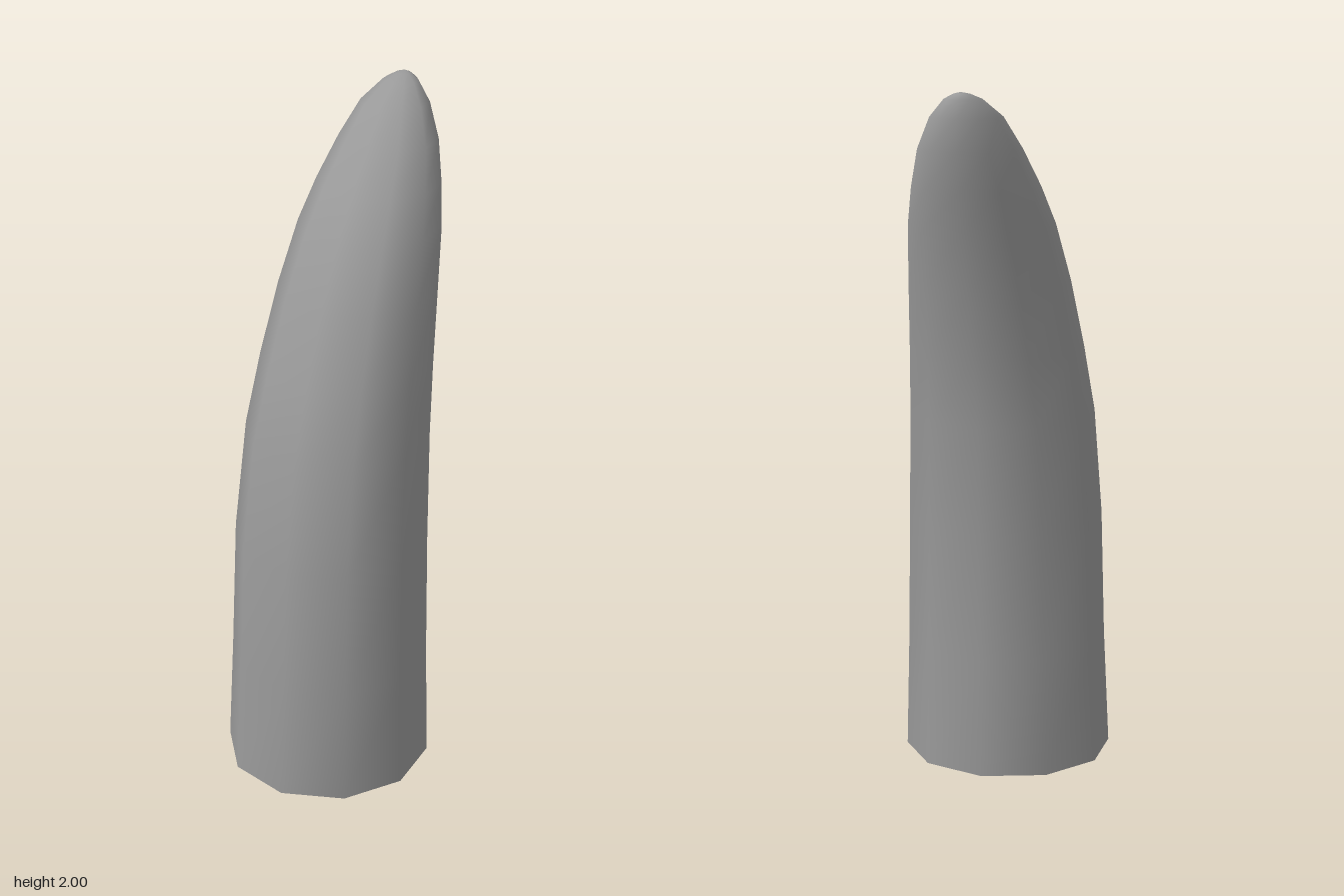
import * as THREE from 'three';

// Horn cross-sections from base to tip: height, centre x, centre z, radius
const RINGS = [
  [0, 0, 0.116, 0.308],
  [0.35, 0.002, 0.11, 0.295],
  [0.73, -0.005, 0.091, 0.286],
  [1.05, -0.02, 0.044, 0.27],
  [1.25, -0.03, -0.007, 0.252],
  [1.45, -0.044, -0.073, 0.231],
  [1.62, -0.059, -0.143, 0.207],
  [1.73, -0.075, -0.202, 0.18],
  [1.84, -0.091, -0.263, 0.144],
  [1.93, -0.11, -0.314, 0.1],
  [1.98, -0.122, -0.352, 0.052],
  [1.995, -0.128, -0.37, 0.022],
];
const TIP = [-0.131, 2, -0.38];
const SIDES = 10;
const TWIST = THREE.MathUtils.degToRad(3.5);

export function createModel() {
  const positions = [];
  const index = [];

  for (const [y, cx, cz, r] of RINGS) {
    for (let j = 0; j < SIDES; j++) {
      const a = TWIST + (j / SIDES) * Math.PI * 2;
      positions.push(cx + r * Math.cos(a), y, cz + r * Math.sin(a));
    }
  }
  positions.push(...TIP);

  // Side walls, then a fan closing the tip; the base stays open
  const last = RINGS.length - 1;
  const tip = RINGS.length * SIDES;
  for (let i = 0; i <= last; i++) {
    for (let j = 0; j < SIDES; j++) {
      const a = i * SIDES + j;
      const b = i * SIDES + ((j + 1) % SIDES);
      if (i === last) index.push(a, tip, b);
      else index.push(a, a + SIDES, b, b, a + SIDES, b + SIDES);
    }
  }

  const geometry = new THREE.BufferGeometry();
  geometry.setAttribute('position', new THREE.Float32BufferAttribute(positions, 3));
  geometry.setIndex(index);
  geometry.computeVertexNormals();

  const horn = new THREE.Mesh(
    geometry,
    new THREE.MeshStandardMaterial({ color: 0x999999, side: THREE.DoubleSide })
  );
  horn.name = 'horn';

  const group = new THREE.Group();
  group.name = 'curvedHorn';
  group.add(horn);
  return group;
}
